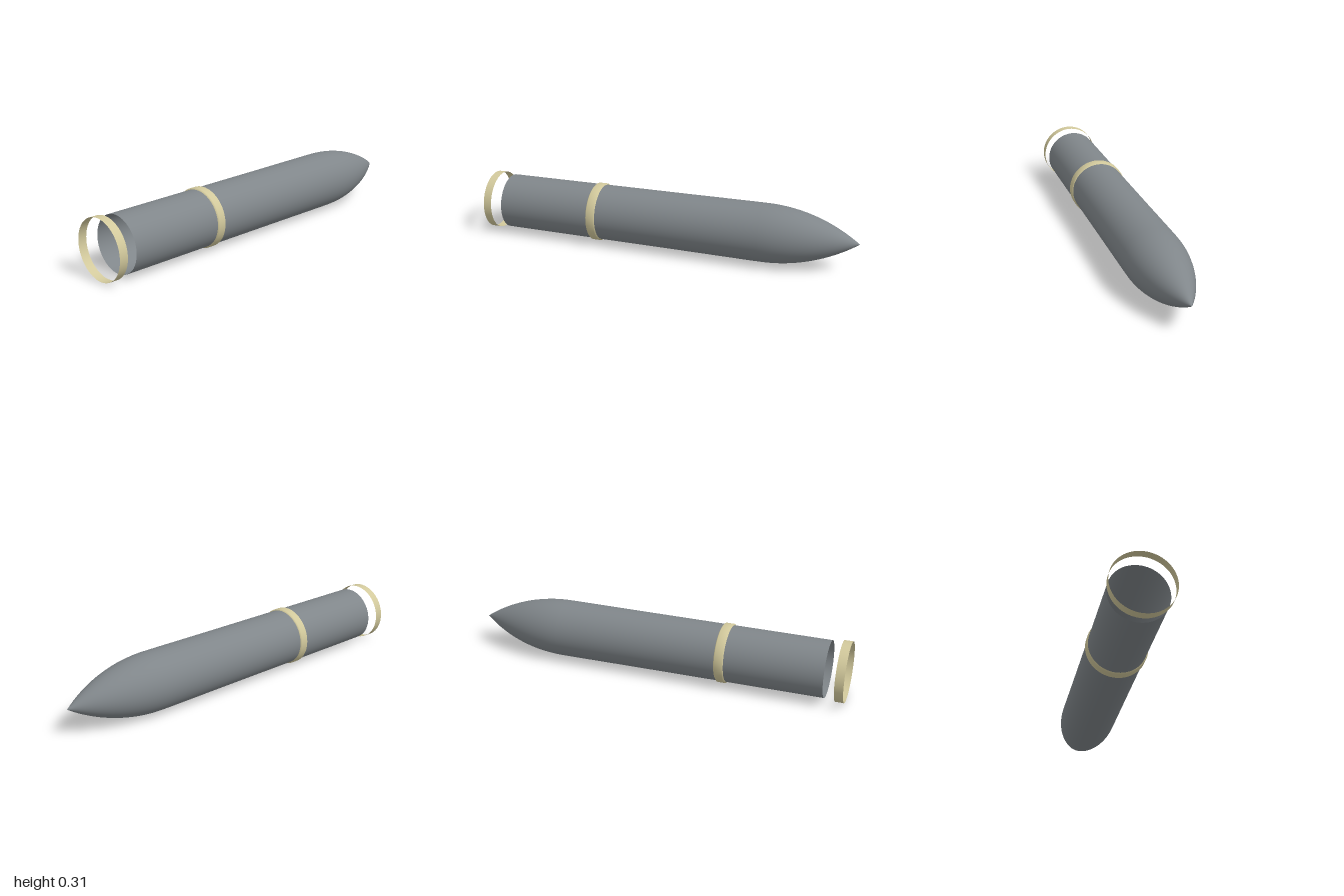
import * as THREE from 'three';

const CENTRE_Y = 0.154;

export function createModel() {
  const group = new THREE.Group();
  const steel = new THREE.MeshStandardMaterial({ color: 0x80868a, side: THREE.DoubleSide });
  steel.name = 'grey steel';
  const brass = new THREE.MeshStandardMaterial({ color: 0xd2c99c, side: THREE.DoubleSide });
  brass.name = 'pale brass';

  // Revolve a list of [x, radius] points about the long axis
  function revolve(name, points, material) {
    const profile = points.map(([x, r]) => new THREE.Vector2(r, x));
    const geometry = new THREE.LatheGeometry(profile, 64);
    geometry.rotateZ(-Math.PI / 2);
    const mesh = new THREE.Mesh(geometry, material);
    mesh.name = name;
    mesh.position.y = CENTRE_Y;
    group.add(mesh);
  }

  // Hollow shell, open at the rear, with a gently swelling shoulder
  revolve('shellBody', [[-0.9, 0.144], [-0.4, 0.146], [0.1, 0.148], [0.45, 0.15], [0.52, 0.15]], steel);

  // Rounded nose: a circular arc tangent to the body
  const start = 0.52, length = 0.48, radius = 0.15;
  const arc = (radius * radius + length * length) / (2 * radius);
  const nose = [];
  for (let i = 0; i <= 20; i++) {
    const d = (length * i) / 20;
    nose.push([start + d, Math.max(0, Math.sqrt(arc * arc - d * d) + radius - arc)]);
  }
  revolve('nose', nose, steel);

  // Driving band with small sloped edges
  revolve('middleBand', [[-0.402, 0.146], [-0.396, 0.153], [-0.358, 0.153], [-0.352, 0.146]], brass);

  // Thin open ring floating behind the shell
  revolve('rearRing', [[-1, 0.153], [-0.956, 0.153]], brass);

  return group;
}
